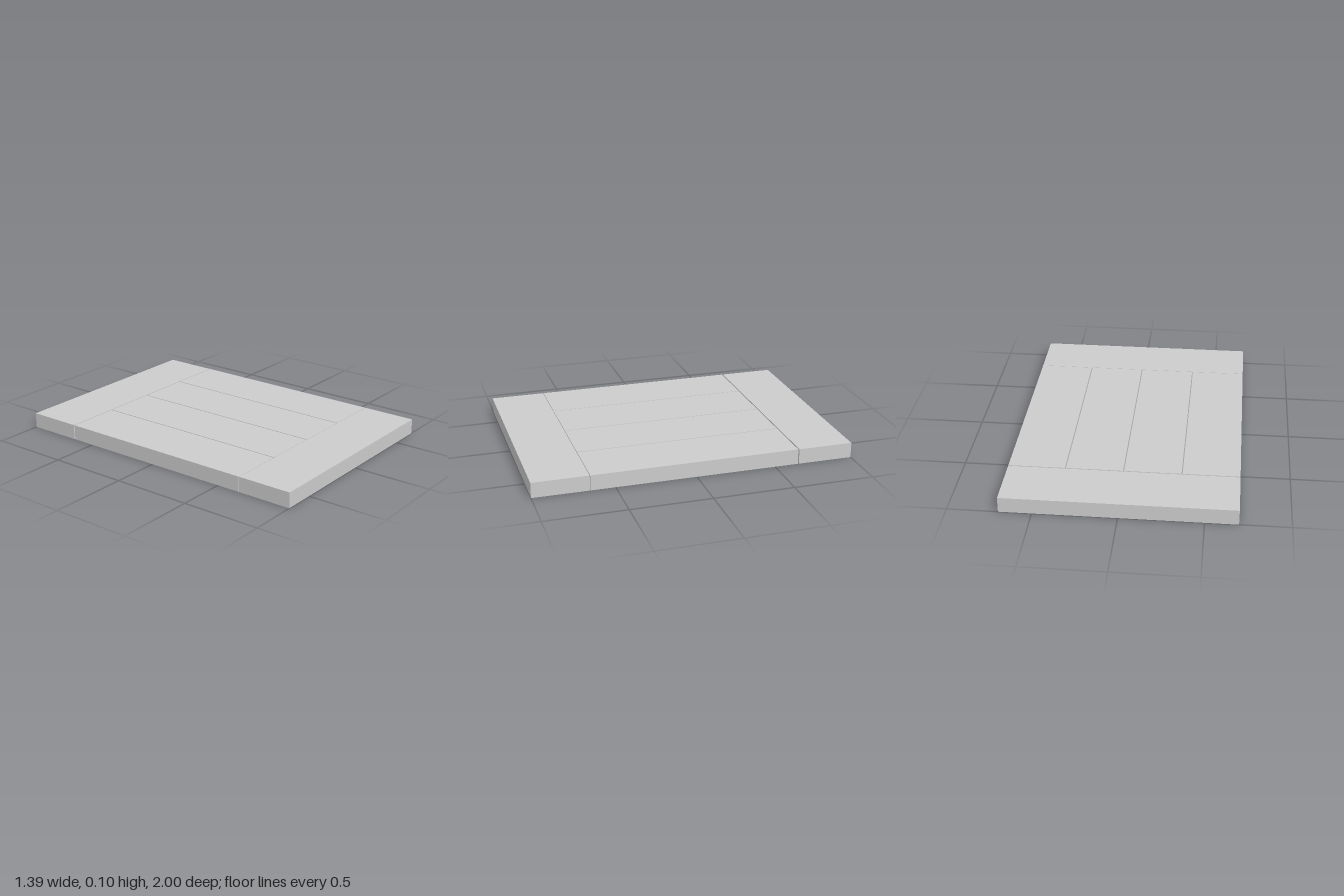
import * as THREE from 'three';

export function createModel() {
  const group = new THREE.Group();
  const material = new THREE.MeshStandardMaterial({ color: 0xcccccc, flatShading: true });
  const height = 0.096, halfWidth = 0.697, gap = 0.006;

  // A flat board given by its extents in x and z
  function board(name, x0, x1, z0, z1) {
    const mesh = new THREE.Mesh(new THREE.BoxGeometry(x1 - x0, height, z1 - z0), material);
    mesh.position.set((x0 + x1) / 2, height / 2, (z0 + z1) / 2);
    mesh.name = name;
    group.add(mesh);
  }

  // End boards running across the panel
  board('frontEndBoard', -halfWidth, halfWidth, 0.653, 1);
  board('backEndBoard', -halfWidth, halfWidth, -1, -0.655);

  // Four lengthwise planks with narrow gaps
  const count = 4;
  const width = (2 * halfWidth - gap * (count - 1)) / count;
  for (let i = 0; i < count; i++) {
    const x = -halfWidth + i * (width + gap);
    board('plank' + (i + 1), x, x + width, -0.648, 0.65);
  }
  return group;
}
